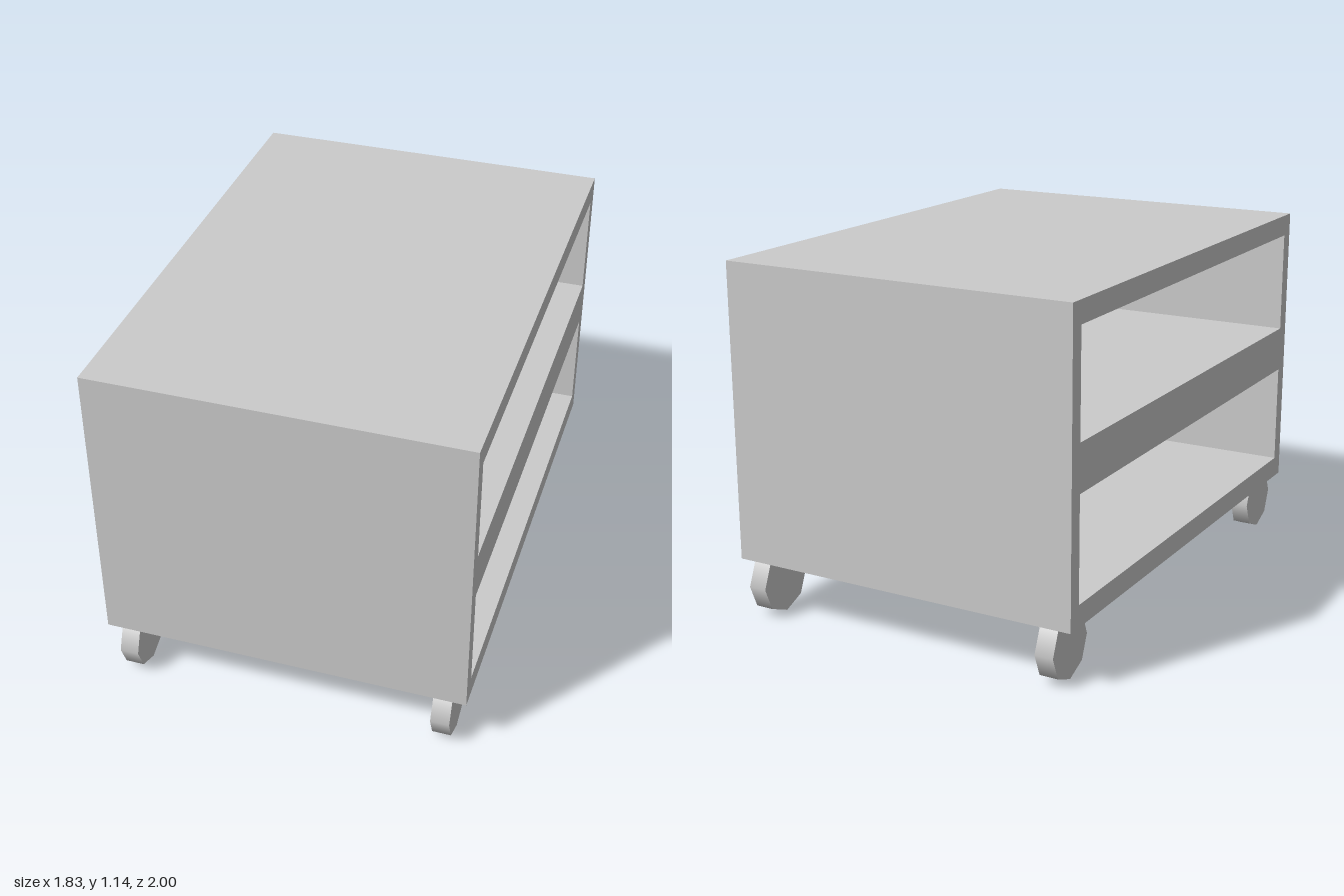
import * as THREE from 'three';

const LENGTH = 1.628, DEPTH = 1.174;
const BOTTOM = 0.185, TOP = 1.14;
const WHEEL_RADIUS = 0.105, WHEEL_WIDTH = 0.06;

// Closed rectangle outline centred on x = 0
function rectangle(PathType, halfWidth, y0, y1) {
  const path = new PathType();
  path.moveTo(-halfWidth, y0);
  path.lineTo(halfWidth, y0);
  path.lineTo(halfWidth, y1);
  path.lineTo(-halfWidth, y1);
  path.closePath();
  return path;
}

export function createModel() {
  const model = new THREE.Group();
  model.name = 'shelfTrolley';
  const material = new THREE.MeshStandardMaterial({ color: 0xcccccc });

  // Cabinet: one block with two compartments open on both long sides
  const outline = rectangle(THREE.Shape, LENGTH / 2, BOTTOM, TOP);
  for (const [y0, y1] of [[0.255, 0.587], [0.737, 1.07]]) {
    outline.holes.push(rectangle(THREE.Path, LENGTH / 2 - 0.049, y0, y1));
  }
  const cabinetGeometry = new THREE.ExtrudeGeometry(outline, { depth: DEPTH, bevelEnabled: false });
  cabinetGeometry.translate(0, 0, -DEPTH / 2).rotateY(Math.PI / 2);
  const cabinet = new THREE.Mesh(cabinetGeometry, material);
  cabinet.name = 'cabinet';
  model.add(cabinet);

  // Four eight-sided wheels, set slightly past the short ends
  const wheelGeometry = new THREE.CylinderGeometry(WHEEL_RADIUS, WHEEL_RADIUS, WHEEL_WIDTH, 8);
  wheelGeometry.rotateZ(Math.PI / 2);
  for (const x of [-1, 1]) {
    for (const z of [-1, 1]) {
      const wheel = new THREE.Mesh(wheelGeometry, material);
      wheel.name = `${z > 0 ? 'front' : 'back'}${x > 0 ? 'Left' : 'Right'}Wheel`;
      wheel.position.set(x * 0.512, WHEEL_RADIUS, z * 0.73);
      model.add(wheel);
    }
  }

  // The whole trolley stands turned by 30 degrees
  model.rotation.y = Math.PI / 6;
  return model;
}
